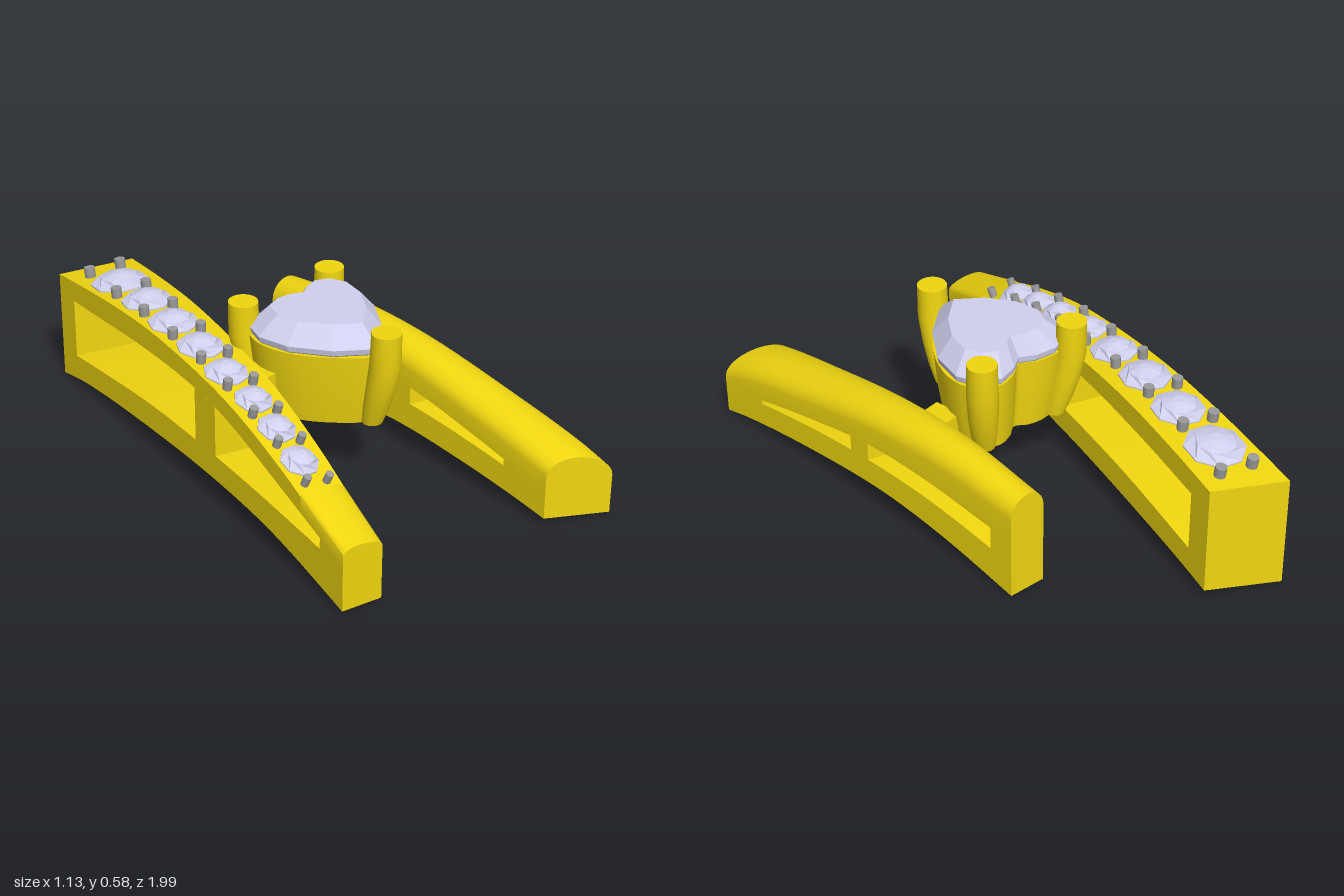
import * as THREE from 'three';
import { toCreasedNormals } from 'three/addons/utils/BufferGeometryUtils.js';

const gold = new THREE.MeshStandardMaterial({ color: 0xf0d610 });
const gemMat = new THREE.MeshStandardMaterial({ color: 0xd0d0ee, flatShading: true });
const beadMat = new THREE.MeshStandardMaterial({ color: 0x999999 });
const V = (x, y, z) => new THREE.Vector3(x, y, z);

// Skin closed rings of points; caps fan to the ring centre, or the last ring joins the first.
function loft(rings, crease = 0.6, loop = false) {
  const tris = [];
  const n = rings[0].length;
  const count = loop ? rings.length : rings.length - 1;
  for (let i = 0; i < count; i++) {
    const a = rings[i], b = rings[(i + 1) % rings.length];
    for (let j = 0; j < n; j++) {
      const k = (j + 1) % n;
      tris.push([a[j], a[k], b[k]], [a[j], b[k], b[j]]);
    }
  }
  if (!loop) {
    [rings[0], rings[rings.length - 1]].forEach((r, end) => {
      const c = r.reduce((s, p) => s.add(p), V(0, 0, 0)).divideScalar(n);
      for (let j = 0; j < n; j++) {
        const k = (j + 1) % n;
        tris.push(end ? [c, r[j], r[k]] : [c, r[k], r[j]]);
      }
    });
  }
  // Turn the skin outward if its enclosed volume is negative
  const volume = tris.reduce((s, [a, b, c]) => s + a.dot(b.clone().cross(c)), 0);
  const points = tris.flatMap(([a, b, c]) => (volume < 0 ? [a, c, b] : [a, b, c]));
  const geo = new THREE.BufferGeometry().setFromPoints(points);
  geo.computeVertexNormals();
  return crease ? toCreasedNormals(geo, crease) : geo;
}

function add(group, name, geo, mat) {
  const mesh = new THREE.Mesh(geo, mat);
  mesh.name = name;
  group.add(mesh);
  return mesh;
}

// Smooth height curve over z from [z, y] pairs in rising z
function heights(pairs) {
  const curve = new THREE.CubicInterpolant(pairs.map(p => p[0]), pairs.map(p => p[1]), 1);
  const lo = pairs[0][0], hi = pairs[pairs.length - 1][0];
  return z => curve.evaluate(THREE.MathUtils.clamp(z, lo, hi - 1e-5))[0];
}

// Arched band: upper and lower rail joined by solid blocks, leaving windows between
function band(name, s) {
  const group = new THREE.Group();
  group.name = name;
  const piece = (part, t0, t1, low, high, crown = 0) => {
    const rings = [];
    const steps = Math.max(2, Math.ceil((t1 - t0) * 28));
    for (let i = 0; i <= steps; i++) {
      const t = t0 + (t1 - t0) * i / steps;
      const [l, r] = [s.left, s.right].map(([a, b]) => [a[0] + (b[0] - a[0]) * t, a[1] + (b[1] - a[1]) * t]);
      const ring = [V(l[0], low(l[1]), l[1]), V(r[0], low(r[1]), r[1])];
      const m = crown ? 12 : 1;
      for (let j = 0; j <= m; j++) {
        const u = (1 - Math.cos(Math.PI * j / m)) / 2;
        const x = r[0] + (l[0] - r[0]) * u, z = r[1] + (l[1] - r[1]) * u;
        ring.push(V(x, high(z) + crown * Math.sin(Math.PI * j / m), z));
      }
      rings.push(ring);
    }
    add(group, part, loft(rings), gold);
  };
  s.tops.forEach(([a, b, crown]) => piece('upperRail', a, b, s.ceil, s.top, crown));
  piece('lowerRail', 0, 1, s.bottom, s.floor);
  s.blocks.forEach(([a, b]) => piece('post', a, b, s.floor, s.ceil));
  return group;
}

// Heart outline around its middle, as [x, z]
const heartCurve = new THREE.CatmullRomCurve3([
  [0.05, 0.32], [-0.05, 0.22], [-0.115, 0.09], [-0.122, -0.02], [-0.08, -0.1], [0, -0.12], [0.07, -0.1],
  [0.118, -0.065], [0.17, -0.09], [0.24, -0.1], [0.3, -0.06], [0.32, 0.02], [0.28, 0.13], [0.18, 0.24],
].map(([x, z]) => V(x, 0, z)), true);
const heart = (scale, y, n) => heartCurve.getPoints(n).slice(0, n)
  .map(p => V(0.1 + (p.x - 0.1) * scale, y, 0.07 + (p.z - 0.07) * scale));

const circle = (x, y, z, r, n, turn = 0) => Array.from({ length: n }, (_, i) => {
  const a = (i + turn) / n * Math.PI * 2;
  return V(x + r * Math.cos(a), y, z + r * Math.sin(a));
});

export function createModel() {
  const model = new THREE.Group();

  // Band set with a row of stones
  const top = heights([[-1, 0.39], [-0.86, 0.41], [-0.65, 0.435], [-0.4, 0.45], [-0.1, 0.435],
    [0.1, 0.405], [0.38, 0.32], [0.5, 0.27], [0.71, 0.19]]);
  model.add(band('stoneBand', {
    left: [[-0.57, 0.67], [-0.03, -1]],
    right: [[-0.43, 0.71], [0.19, -0.86]],
    top,
    ceil: heights([[-1, 0.32], [-0.77, 0.34], [-0.5, 0.365], [-0.2, 0.375], [0, 0.36], [0.38, 0.255], [0.6, 0.185], [0.71, 0.14]]),
    floor: heights([[-1, 0.1], [-0.77, 0.13], [-0.4, 0.17], [0, 0.18], [0.4, 0.17], [0.6, 0.155], [0.71, 0.12]]),
    bottom: heights([[-1, 0], [-0.86, 0.03], [-0.4, 0.075], [0, 0.09], [0.3, 0.075], [0.71, 0]]),
    tops: [[0, 0.13, 0.025], [0.13, 1, 0]],
    blocks: [[0, 0.07], [0.41, 0.48], [0.943, 1]],
  }));

  // Plain domed band
  model.add(band('domedBand', {
    left: [[0.21, 0.87], [0.43, -0.42]],
    right: [[0.41, 0.99], [0.56, -0.4]],
    top: heights([[-0.42, 0.295], [-0.1, 0.325], [0.2, 0.31], [0.6, 0.24], [0.87, 0.18], [0.99, 0.14]]),
    ceil: heights([[-0.42, 0.21], [-0.31, 0.22], [0, 0.245], [0.25, 0.24], [0.5, 0.2], [0.8, 0.135], [0.99, 0.08]]),
    floor: heights([[-0.42, 0.12], [-0.31, 0.14], [0, 0.175], [0.3, 0.175], [0.55, 0.155], [0.8, 0.12], [0.99, 0.07]]),
    bottom: heights([[-0.42, 0], [-0.1, 0.06], [0.18, 0.085], [0.5, 0.07], [0.87, 0.025], [0.99, 0]]),
    tops: [[0, 1, 0.068]],
    blocks: [[0, 0.14], [0.47, 0.53], [0.935, 1]],
  }));

  // Faceted stones, tilted to follow the band: x, z, radius
  const up = V(0, 1, 0);
  const seat = (mesh, x, z, lift) => {
    const slope = (top(z + 0.02) - top(z - 0.02)) / 0.04;
    mesh.position.set(x, top(z) + lift, z);
    mesh.quaternion.setFromUnitVectors(up, V(0, 1, -slope).normalize());
  };
  [[0.01, -0.75, 0.1], [-0.06, -0.56, 0.088], [-0.13, -0.38, 0.086], [-0.19, -0.21, 0.08], [-0.25, -0.05, 0.074],
    [-0.295, 0.1, 0.064], [-0.34, 0.23, 0.064], [-0.39, 0.36, 0.064]].forEach(([x, z, r], i) => {
    const geo = loft([circle(0, -0.09, 0, 0.008, 8), circle(0, -0.01, 0, r, 8), circle(0, 0.004, 0, r, 8),
      circle(0, 0.025, 0, r * 0.66, 8, 0.5), circle(0, 0.038, 0, r * 0.2, 8)], 0);
    const stone = add(model, 'smallStone', geo, gemMat);
    seat(stone, x, z, 0);
    stone.rotateY(i * 0.7);
  });

  // Bead pairs between the stones
  [[0, -0.88], [-0.09, -0.67], [-0.15, -0.49], [-0.21, -0.31], [-0.262, -0.145], [-0.315, 0.01],
    [-0.36, 0.15], [-0.4, 0.28], [-0.45, 0.43]].forEach(([x, z], i) => {
    const gap = 0.107 - i * 0.0045, r = 0.019 - i * 0.0007;
    for (const k of [0, 1]) {
      const bead = add(model, 'bead', new THREE.CylinderGeometry(r, r, 0.06, 10), beadMat);
      seat(bead, x + gap * k, z + gap * k * 0.4, 0.005);
    }
  });

  // Hollow heart basket
  const centre = new THREE.Group();
  centre.name = 'centreSetting';
  model.add(centre);
  const n = 70;
  add(centre, 'heartBasket', loft([heart(0.84, 0.235, n), heart(0.94, 0.36, n), heart(1, 0.49, n),
    heart(0.88, 0.49, n), heart(0.68, 0.235, n)], 0.6, true), gold);

  // Heart stone with a flat table
  add(centre, 'heartStone', loft([heart(0.05, 0.29, 14), heart(0.99, 0.495, 14), heart(1.01, 0.515, 14),
    heart(0.72, 0.578, 14)], 0), gemMat);

  // Prongs leaning in toward the foot: x, z
  [[-0.07, -0.13], [0.3, -0.07], [0.05, 0.355]].forEach(([x, z]) => {
    const rings = [[0.24, 0.2, 0.034], [0.3, 0.14, 0.043], [0.38, 0.07, 0.049], [0.47, 0.01, 0.051], [0.585, 0, 0.049]]
      .map(([y, lean, r]) => circle(x + (0.1 - x) * lean, y, z + (0.07 - z) * lean, r, 24));
    add(centre, 'prong', loft(rings), gold);
  });

  // Short bridges from the basket to the bands
  [[-0.14, -0.01, 0.36], [0.33, 0.09, 0.3]].forEach(([x, z, y]) => {
    const bridge = add(centre, 'bridge', new THREE.BoxGeometry(0.1, 0.08, 0.1), gold);
    bridge.position.set(x, y, z);
  });

  return model;
}
